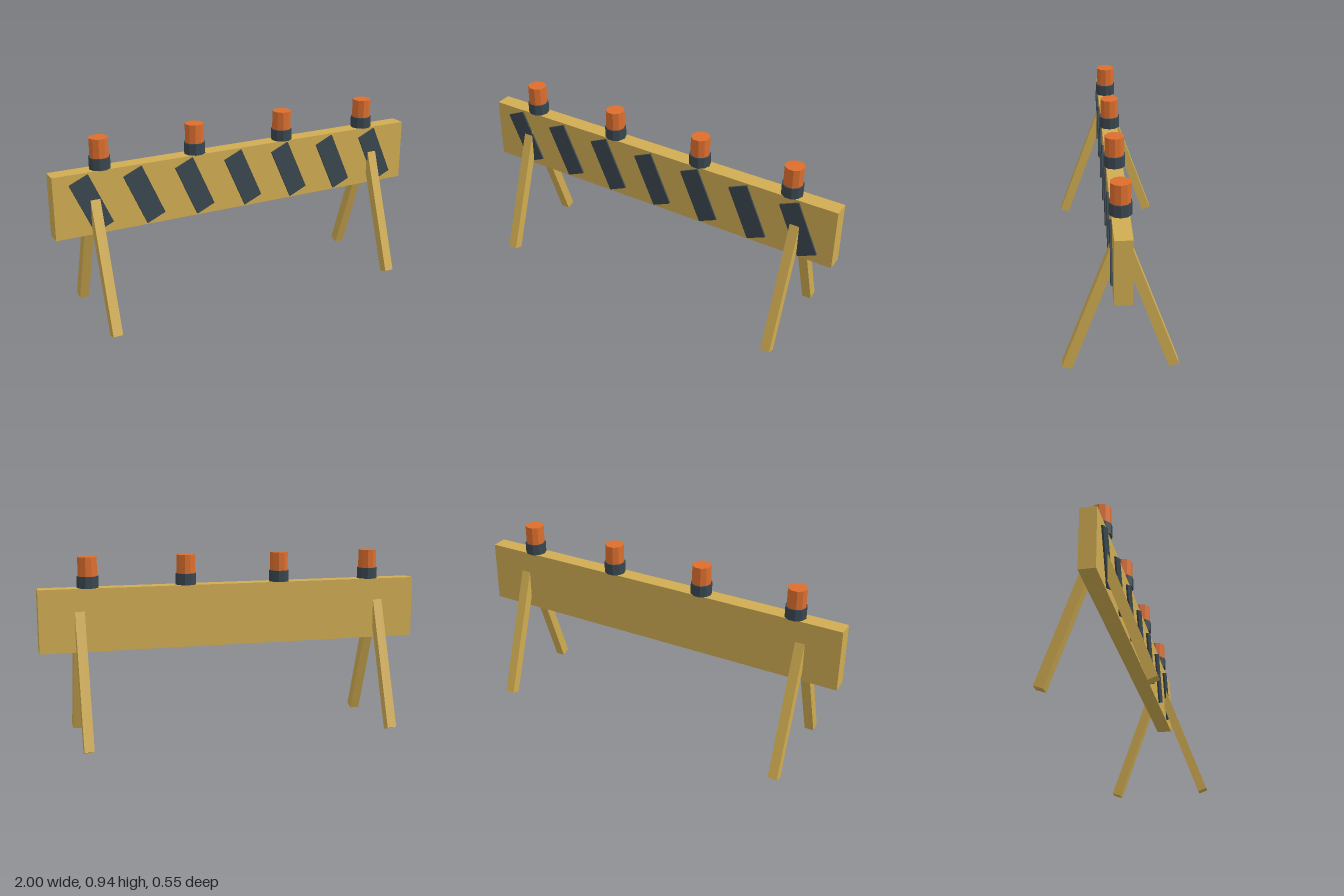
import * as THREE from 'three';

export function createModel() {
  const model = new THREE.Group();
  model.name = 'roadBarrier';

  const material = (name, color) => {
    const m = new THREE.MeshStandardMaterial({ color, flatShading: true });
    m.name = name;
    return m;
  };
  const yellow = material('ochreYellow', 0xd0ac52);
  const dark = material('darkSlate', 0x39474f);
  const orange = material('lampOrange', 0xdc6e2e);

  const add = (name, geometry, mat, x, y, z, parent = model) => {
    const mesh = new THREE.Mesh(geometry, mat);
    mesh.name = name;
    mesh.position.set(x, y, z);
    parent.add(mesh);
    return mesh;
  };

  // Main board
  add('board', new THREE.BoxGeometry(2, 0.318, 0.082), yellow, 0, 0.625, 0);

  // Slanted stripes on the front face
  const stripeGeometry = new THREE.BoxGeometry(0.105, 0.284, 0.009);
  for (let i = -3; i <= 3; i++) {
    add('stripe', stripeGeometry, dark, i * 0.272, 0.625, 0.0455).rotation.z = 0.42;
  }

  // Splayed legs, their tops buried in the board
  const tilt = 0.343, length = 0.745;
  const legGeometry = new THREE.BoxGeometry(0.049, length, 0.049);
  legGeometry.translate(0, length / 2, 0);
  for (const x of [-0.797, 0.797]) {
    for (const side of [1, -1]) {
      const leg = add(side > 0 ? 'frontLeg' : 'backLeg', legGeometry, yellow, x, 0.0095, side * 0.251);
      leg.rotation.x = -side * tilt;
    }
  }

  // Warning lamps along the top edge
  const baseGeometry = new THREE.CylinderGeometry(0.054, 0.054, 0.058, 10);
  const lampGeometry = new THREE.CylinderGeometry(0.048, 0.048, 0.095, 10);
  for (const x of [-0.75, -0.25, 0.25, 0.75]) {
    const lamp = new THREE.Group();
    lamp.name = 'warningLamp';
    lamp.position.set(x, 0.784, 0);
    lamp.rotation.y = Math.PI / 2;
    add('lampBase', baseGeometry, dark, 0, 0.029, 0, lamp);
    add('lampLens', lampGeometry, orange, 0, 0.1055, 0, lamp);
    model.add(lamp);
  }

  return model;
}
